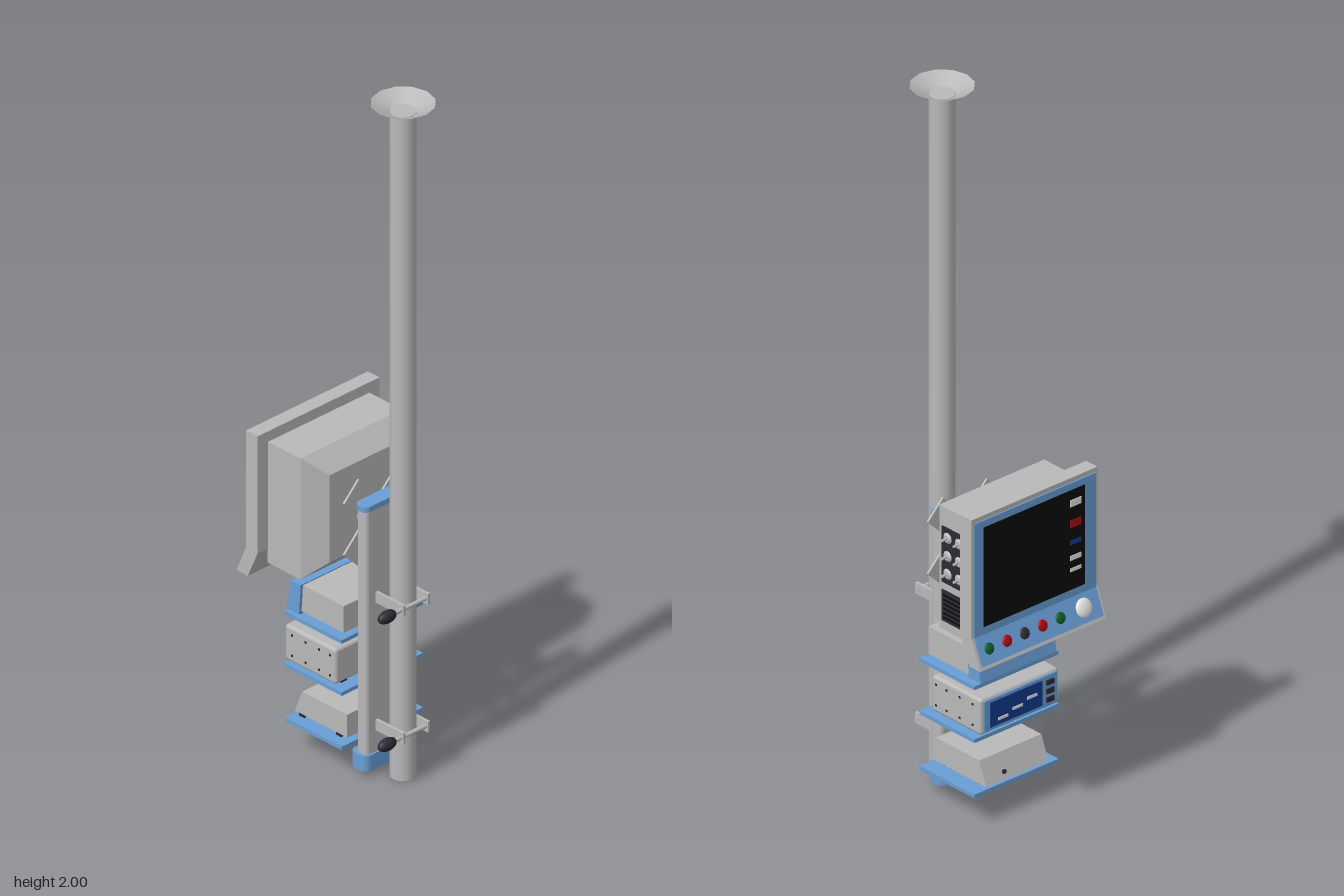
import * as THREE from 'three';
import { RoundedBoxGeometry } from 'three/addons/geometries/RoundedBoxGeometry.js';

const mat = (name, color, side = THREE.FrontSide) => {
  const m = new THREE.MeshStandardMaterial({ color, side });
  m.name = name;
  return m;
};

export function createModel() {
  const grey = mat('grey', 0xb9b9b9, THREE.DoubleSide);
  const blue = mat('blue', 0x699fd6);
  const black = mat('screenBlack', 0x0a0a0a);
  const dark = mat('darkGrey', 0x2a2a32);
  const red = mat('red', 0xa80c0c);
  const green = mat('green', 0x0d5c2e);
  const navy = mat('displayBlue', 0x123a8c);
  const white = mat('white', 0xe4e4e4);

  const root = new THREE.Group();
  root.name = 'medicalMonitorPole';
  const add = (name, geo, m, parent = root) => {
    const mesh = new THREE.Mesh(geo, m);
    mesh.name = name;
    parent.add(mesh);
    return mesh;
  };
  const group = (name) => {
    const g = new THREE.Group();
    g.name = name;
    root.add(g);
    return g;
  };
  // Box given by its minimum and maximum on each axis
  const box = (name, [x0, x1], [y0, y1], [z0, z1], m, parent) => {
    const g = new THREE.BoxGeometry(x1 - x0, y1 - y0, z1 - z0);
    g.translate((x0 + x1) / 2, (y0 + y1) / 2, (z0 + z1) / 2);
    return add(name, g, m, parent);
  };
  // Side profile in x, y extruded across z
  const prism = (name, pts, z0, z1, m, parent) => {
    const shape = new THREE.Shape(pts.map(p => new THREE.Vector2(...p)));
    const g = new THREE.ExtrudeGeometry(shape, { depth: z1 - z0, bevelEnabled: false });
    return add(name, g.translate(0, 0, z0), m, parent);
  };
  // Upright bar with rounded plan corners
  const roundedBar = (name, w, d, r, y0, y1, x, z, m) => {
    const s = new THREE.Shape();
    const a = w / 2 - r, b = d / 2 - r;
    s.absarc(a, b, r, 0, Math.PI / 2);
    s.absarc(-a, b, r, Math.PI / 2, Math.PI);
    s.absarc(-a, -b, r, Math.PI, Math.PI * 1.5);
    s.absarc(a, -b, r, Math.PI * 1.5, Math.PI * 2);
    const g = new THREE.ExtrudeGeometry(s, { depth: y1 - y0, bevelEnabled: false, curveSegments: 5 });
    return add(name, g.rotateX(-Math.PI / 2).translate(x, y0, z), m);
  };

  // Ceiling pole with open dish flange
  const px = 0.158, pz = 0.01;
  add('pole', new THREE.CylinderGeometry(0.035, 0.035, 1.976, 16), grey).position.set(px, 0.988, pz);
  add('ceilingFlange', new THREE.CylinderGeometry(0.086, 0.036, 0.025, 12, 1, true), grey)
    .position.set(px, 1.9875, pz);

  // Mounting rail with end caps
  roundedBar('rail', 0.038, 0.168, 0.012, 0.06, 0.792, 0.086, 0.007, grey);
  roundedBar('railTopCap', 0.044, 0.182, 0.018, 0.79, 0.806, 0.088, 0.007, blue);
  roundedBar('railBottomCap', 0.06, 0.186, 0.022, 0.02, 0.066, 0.081, 0.007, blue);

  // Pole clamps with bolt and knob
  for (const y of [0.525, 0.145]) {
    const g = group('poleClamp');
    for (const z of [-0.035, 0.053])
      box('clampPlate', [0.1, 0.208], [y - 0.016, y + 0.016], [z - 0.004, z + 0.004], grey, g);
    const bolt = add('clampBolt', new THREE.CylinderGeometry(0.006, 0.006, 0.125, 10), grey, g);
    bolt.rotation.x = Math.PI / 2;
    bolt.position.set(0.198, y, 0.022);
    const knob = add('clampKnob', new THREE.SphereGeometry(1, 14, 10), dark, g);
    knob.scale.set(0.016, 0.018, 0.031);
    knob.position.set(0.198, y, 0.106);
  }

  // Shelves
  for (const y of [0.405, 0.25, 0.088])
    box('shelf', [-0.143, 0.068], [y, y + 0.011], [-0.149, 0.143], blue);
  const feet = (y0, y1, parent) => {
    for (const x of [-0.125, 0.012]) for (const z of [-0.1, 0.09])
      box('foot', [x, x + 0.02], [y0, y1], [z, z + 0.02], dark, parent);
  };

  // Upper device with a blue sloping front
  const upper = group('upperDevice');
  box('upperCase', [-0.1, 0.057], [0.426, 0.505], [-0.129, 0.125], grey, upper);
  prism('upperFront', [[-0.146, 0.418], [-0.1, 0.418], [-0.094, 0.508], [-0.131, 0.508]], -0.13, 0.133, blue, upper);
  feet(0.416, 0.426, upper);

  // Middle device with display
  const middle = group('middleDevice');
  add('middleCase', new RoundedBoxGeometry(0.19, 0.106, 0.272, 2, 0.01), grey, middle).position.set(-0.055, 0.32, 0.002);
  box('middlePanel', [-0.154, -0.149], [0.275, 0.365], [-0.124, 0.128], blue, middle);
  box('middleDisplay', [-0.157, -0.153], [0.285, 0.357], [-0.105, 0.075], navy, middle);
  for (const [i, z] of [-0.08, -0.03, 0.02].entries())
    box('displayBar', [-0.159, -0.156], [0.298 + i * 0.012, 0.306 + i * 0.012], [z, z + 0.035], white, middle);
  for (const y of [0.295, 0.32, 0.345])
    box('panelKey', [-0.159, -0.153], [y - 0.007, y + 0.007], [0.09, 0.115], dark, middle);
  for (const z of [-0.1345, 0.1385]) for (const x of [-0.12, -0.07, -0.02, 0.02]) for (const y of [0.29, 0.35])
    box('caseScrew', [x - 0.003, x + 0.003], [y - 0.003, y + 0.003], [z - 0.001, z + 0.001], dark, middle);
  feet(0.261, 0.268, middle);

  // Lower device with sloping front
  const lower = group('lowerDevice');
  prism('lowerCase', [[-0.142, 0.105], [0.052, 0.105], [0.052, 0.173], [-0.115, 0.173]], -0.107, 0.108, grey, lower);
  box('lowerSocket', [-0.139, -0.133], [0.12, 0.13], [-0.045, -0.035], dark, lower);
  feet(0.099, 0.106, lower);

  // Monitor bezel with kicked-out lower lip
  const monitor = group('monitor');
  prism('bezel', [[-0.21, 0.955], [-0.167, 0.955], [-0.167, 0.607], [-0.203, 0.525], [-0.245, 0.525], [-0.21, 0.608]],
    -0.22, 0.217, grey, monitor);
  prism('bezelFace', [[-0.209, 0.942], [-0.209, 0.607], [-0.24, 0.533], [-0.244, 0.535], [-0.214, 0.608], [-0.214, 0.942]],
    -0.212, 0.209, blue, monitor);
  box('screen', [-0.217, -0.213], [0.632, 0.922], [-0.182, 0.168], black, monitor);

  // Readouts on the screen edge
  const readouts = [[0.885, 0.02, white], [0.825, 0.022, red], [0.77, 0.012, navy], [0.725, 0.014, white], [0.69, 0.01, white]];
  for (const [y, h, m] of readouts)
    box('readout', [-0.219, -0.216], [y - h / 2, y + h / 2], [0.115, 0.153], m, monitor);

  // Buttons and dial on the lip
  const lip = new THREE.Group();
  lip.name = 'lipControls';
  lip.position.set(-0.229, 0.572, 0);
  lip.rotation.z = 1.18;
  monitor.add(lip);
  const controls = [[-0.175, green], [-0.113, red], [-0.052, dark], [0.01, red], [0.072, green], [0.153, white]];
  for (const [z, m] of controls) {
    const r = m === white ? 0.027 : 0.016;
    const b = add(m === white ? 'dial' : 'button', new THREE.SphereGeometry(r, 16, 10), m, lip);
    b.scale.y = 0.4;
    b.position.z = z;
  }

  // Monitor housing, tapering towards the back
  box('housing', [-0.168, -0.047], [0.564, 0.924], [-0.184, 0.18], grey, monitor);
  const taper = new THREE.BoxGeometry(0.052, 0.36, 0.364);
  const p = taper.attributes.position;
  for (let i = 0; i < p.count; i++)
    if (p.getX(i) > 0) p.setXYZ(i, p.getX(i), p.getY(i) * 0.72, p.getZ(i) * 0.7);
  taper.computeVertexNormals();
  add('housingBack', taper, grey, monitor).position.set(-0.021, 0.744, -0.002);

  // Socket panel and grille on the housing side
  box('socketPanel', [-0.15, -0.06], [0.705, 0.868], [-0.188, -0.183], dark, monitor);
  box('grille', [-0.15, -0.06], [0.592, 0.682], [-0.188, -0.183], dark, monitor);
  for (let i = 0; i < 6; i++)
    box('grilleSlot', [-0.143, -0.067], [0.601 + i * 0.013, 0.606 + i * 0.013], [-0.189, -0.187], black, monitor);
  for (const x of [-0.127, -0.083]) for (const y of [0.84, 0.787, 0.735]) {
    const base = add('socketRing', new THREE.CylinderGeometry(0.017, 0.01, 0.006, 14), grey, monitor);
    base.rotation.x = Math.PI / 2;
    base.position.set(x, y, -0.19);
    const pin = add('socketPin', new THREE.CylinderGeometry(0.004, 0.004, 0.022, 8), grey, monitor);
    pin.rotation.x = Math.PI / 2;
    pin.position.set(x, y, -0.196);
  }

  // Bracket with crossed arms behind the housing
  const bracket = group('bracket');
  box('bracketArm', [0.003, 0.07], [0.706, 0.765], [-0.031, 0.027], grey, bracket);
  for (const s of [-1, 1]) {
    const arm = add('crossArm', new THREE.BoxGeometry(0.006, 0.29, 0.075), grey, bracket);
    arm.position.set(0.058, 0.735, -0.002);
    arm.rotation.x = s * Math.PI / 4;
  }
  return root;
}
